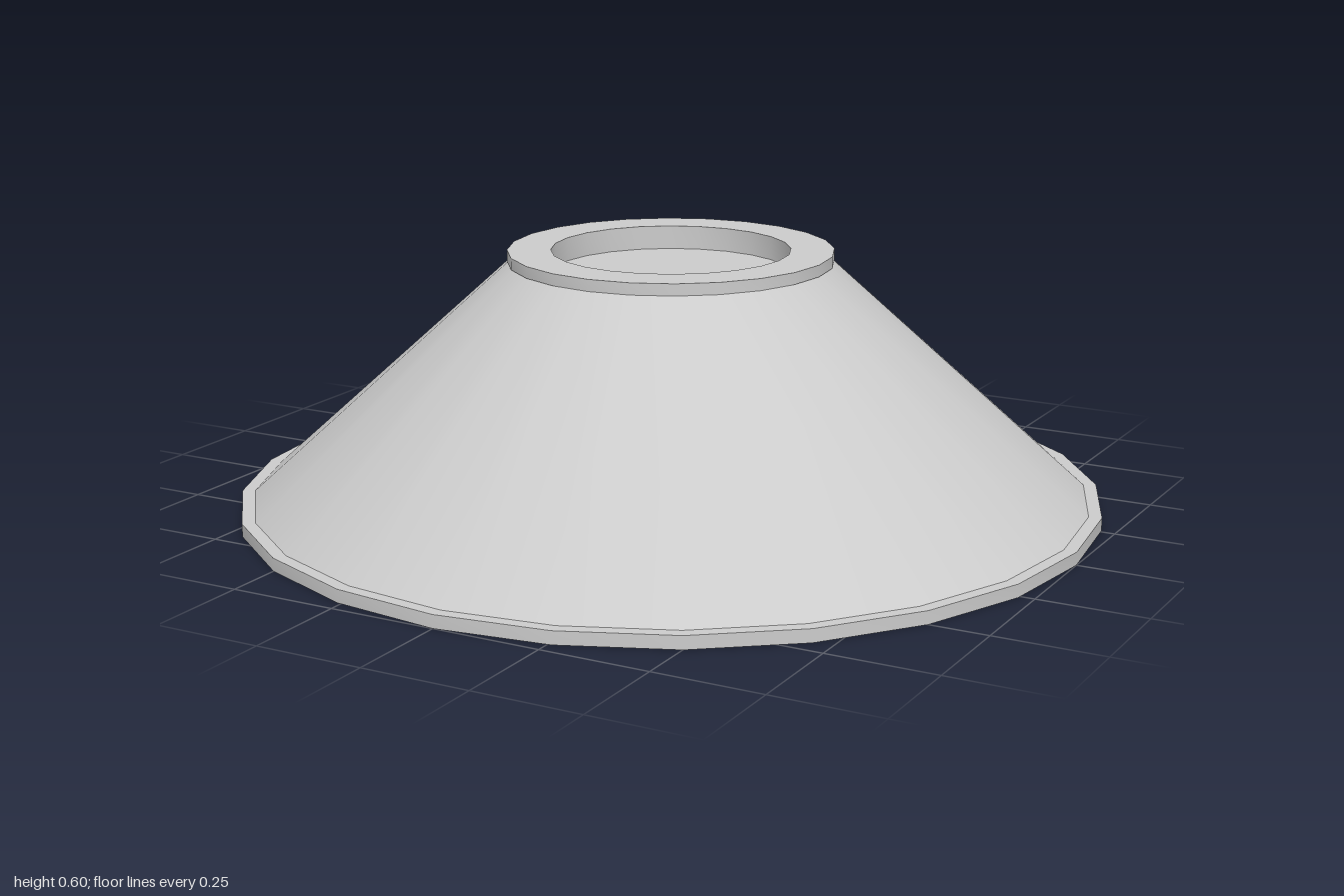
import * as THREE from 'three';
import { toCreasedNormals } from 'three/addons/utils/BufferGeometryUtils.js';

const material = new THREE.MeshStandardMaterial({ color: 0xcccccc });

// Turned part: profile of [radius, y] pairs, running from the underside up and round
function turned(name, profile, sides = 24) {
  const points = profile.map(([r, y]) => new THREE.Vector2(r, y));
  const mesh = new THREE.Mesh(toCreasedNormals(new THREE.LatheGeometry(points, sides), 0.5), material);
  mesh.name = name;
  return mesh;
}

export function createModel() {
  const group = new THREE.Group();
  group.name = 'conicalStand';

  // Flat rim with a recessed underside and a raised foot ring
  group.add(turned('baseRim', [
    [0, 0.052], [0.4, 0.052], [0.4, 0], [0.5, 0], [0.5, 0.052],
    [0.905, 0.052], [0.905, 0], [1, 0], [1, 0.03], [0.97, 0.03],
  ]));

  // Sloping wall
  group.add(turned('coneWall', [[0.97, 0.03], [0.372, 0.573]]));

  // Top collar with a shallow round well
  group.add(turned('topCollar', [
    [0.372, 0.573], [0.375, 0.573], [0.375, 0.6], [0.275, 0.6], [0.275, 0.545], [0, 0.545],
  ]));

  // Small lipped button on the back slope, tilted to the wall's normal
  const button = turned('backButton', [
    [0, -0.025], [0.075, -0.025], [0.075, 0.013], [0.067, 0.013], [0.067, 0.008], [0, 0.008],
  ]);
  button.position.set(0, 0.434, -0.525);
  button.rotation.x = -Math.atan2(0.598, 0.543) + 0.09;
  button.rotation.x = -Math.atan2(0.543, 0.598);
  group.add(button);

  return group;
}
